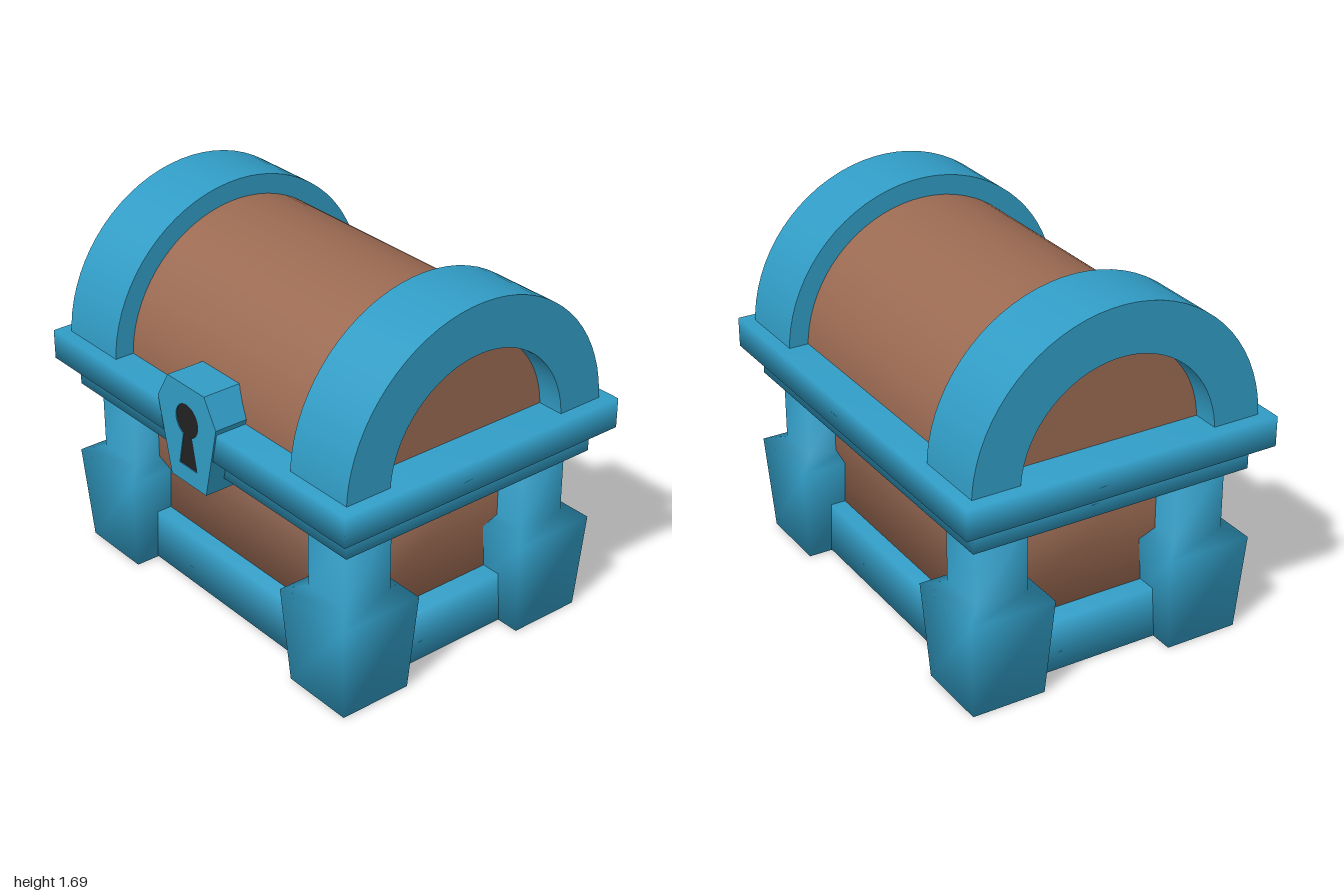
import * as THREE from 'three';
import { mergeVertices, toCreasedNormals } from 'three/addons/utils/BufferGeometryUtils.js';

const blue = new THREE.MeshStandardMaterial({ color: 0x319cc5 });
blue.name = 'blue trim';
const brown = new THREE.MeshStandardMaterial({ color: 0x9b6a52 });
brown.name = 'brown wood';
const dark = new THREE.MeshStandardMaterial({ color: 0x222222 });
dark.name = 'dark keyhole';

// Shares corners so that the shading runs softly over the edges
function soften(geometry) {
  geometry.deleteAttribute('uv');
  geometry.deleteAttribute('normal');
  const merged = mergeVertices(geometry);
  merged.computeVertexNormals();
  return merged;
}

// Box given by its half width, bottom, top and half depth
function softBox(halfX, y0, y1, halfZ) {
  const box = new THREE.BoxGeometry(halfX * 2, y1 - y0, halfZ * 2);
  return soften(box.translate(0, (y0 + y1) / 2, 0));
}

// Square column lofted through rings of [y, x half width, z half depth]
function column(rings) {
  const box = new THREE.BoxGeometry(2, rings.length - 1, 2, 1, rings.length - 1, 1);
  box.translate(0, (rings.length - 1) / 2, 0);
  const p = box.attributes.position;
  for (let i = 0; i < p.count; i++) {
    const [y, hx, hz] = rings[Math.round(p.getY(i))];
    p.setXYZ(i, p.getX(i) * hx, y, p.getZ(i) * hz);
  }
  return soften(box);
}

// Profile in the side plane, extruded along x
function extrudeX(shape, x0, x1) {
  const g = new THREE.ExtrudeGeometry(shape, { depth: x1 - x0, bevelEnabled: false, curveSegments: 18 });
  g.translate(0, 0, x0).rotateY(Math.PI / 2);
  return toCreasedNormals(g, 0.6);
}

// Round head with a flared slot below
function keyhole(Type) {
  const path = new Type();
  path.moveTo(-0.06, 0.8);
  path.lineTo(0.06, 0.8);
  path.lineTo(0.028, 0.955);
  path.absarc(0, 1.02, 0.075, -1.19, Math.PI + 1.19, false);
  path.lineTo(-0.06, 0.8);
  return path;
}

export function createModel() {
  const chest = new THREE.Group();
  chest.name = 'treasureChest';
  const add = (name, geometry, material) => {
    const mesh = new THREE.Mesh(geometry, material);
    mesh.name = name;
    chest.add(mesh);
    return mesh;
  };

  // Lower half
  add('base', softBox(0.79, 0.003, 0.245, 0.54), blue);
  add('body', softBox(0.7, 0.2, 0.85, 0.47), brown);
  add('lowerBand', softBox(0.92, 0.78, 0.91, 0.66), blue);
  add('rim', softBox(1, 0.9, 1.037, 0.735), blue);

  // Corner posts with flared feet
  for (const sx of [-1, 1]) {
    for (const sz of [-1, 1]) {
      const post = add('cornerPost', column([
        [0, 0.172, 0.17],
        [0.445, 0.2, 0.2],
        [0.475, 0.115, 0.12],
        [0.8, 0.115, 0.12],
      ]), blue);
      post.position.set(sx * 0.725, 0, sz * 0.48);
    }
  }

  // Barrel lid
  const cy = 1.01;
  const half = new THREE.Shape();
  half.absarc(0, cy, 0.59, 0, Math.PI, false);
  add('lid', extrudeX(half, -0.82, 0.82), brown);

  // Arched straps at both ends of the lid
  const arch = new THREE.Shape();
  arch.absarc(0, cy, 0.68, 0, Math.PI, false);
  arch.absarc(0, cy, 0.46, Math.PI, 0, true);
  add('leftStrap', extrudeX(arch, 0.6, 0.943), blue);
  add('rightStrap', extrudeX(arch, -0.943, -0.6), blue);

  // Lock plate with a keyhole cut through it
  const plate = new THREE.Shape([
    [-0.12, 0.72], [0.12, 0.72], [0.2, 1.06], [0.125, 1.185], [-0.125, 1.185], [-0.2, 1.06],
  ].map(([x, y]) => new THREE.Vector2(x, y)));
  plate.holes.push(keyhole(THREE.Path));
  const lock = new THREE.ExtrudeGeometry(plate, { depth: 0.242, bevelEnabled: false, curveSegments: 20 });
  add('lock', lock.translate(0, 0, 0.5), blue);
  add('keyhole', new THREE.ShapeGeometry(keyhole(THREE.Shape), 20).translate(0, 0, 0.738), dark);

  return chest;
}
